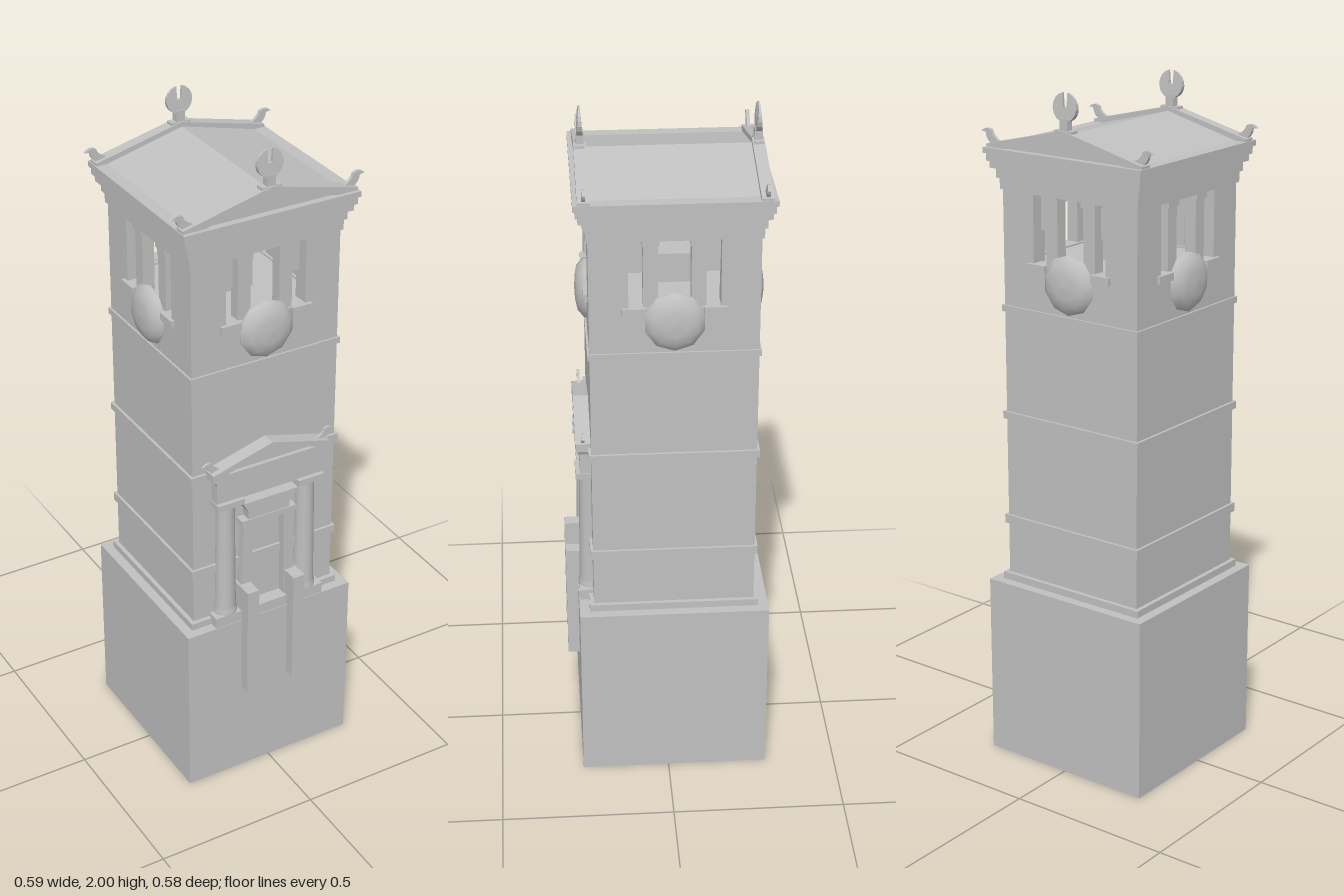
import * as THREE from 'three';

const CZ = -0.018; // the shaft stands slightly behind the centre
const stone = new THREE.MeshStandardMaterial({ color: 0xc0c0c0 });
stone.name = 'grey stone';

function add(parent, name, geo, x = 0, y = 0, z = 0) {
  const m = new THREE.Mesh(geo, stone);
  m.name = name;
  m.position.set(x, y, z);
  parent.add(m);
  return m;
}

// box given by its limits
function block(parent, name, x0, x1, y0, y1, z0, z1) {
  return add(parent, name, new THREE.BoxGeometry(x1 - x0, y1 - y0, z1 - z0),
    (x0 + x1) / 2, (y0 + y1) / 2, (z0 + z1) / 2);
}

// square slab centred on the shaft
const slab = (parent, name, half, y0, y1) => block(parent, name, -half, half, y0, y1, -half, half);

function plate(pts, depth, curveSegments = 6) {
  const s = pts instanceof THREE.Shape ? pts : new THREE.Shape(pts.map(p => new THREE.Vector2(...p)));
  return new THREE.ExtrudeGeometry(s, { depth, bevelEnabled: false, curveSegments });
}

// slab whose sides flare from a lower to an upper half width and depth
function flare(parent, name, x0, x1, y0, y1, z0, z1) {
  const m = add(parent, name, plate([[-x0, y0], [x0, y0], [x1, y1], [-x1, y1]], z1 - z0), 0, 0, z0);
  return m;
}

// low gable with tympanum and raised raking cornice
function pediment(parent, half, y, rise, rim, z0, z1) {
  const g = new THREE.Group();
  g.name = 'pediment';
  parent.add(g);
  const inset = (z1 - z0) * 0.25;
  add(g, 'tympanum', plate([[-half, y], [half, y], [0, y + rise - rim / 2]], z1 - z0 - 2 * inset), 0, 0, z0 + inset);
  add(g, 'rakingCornice', plate([[-half, y], [-half + rim * 2.5, y], [0, y + rise - rim], [half - rim * 2.5, y],
    [half, y], [half, y + rim * 0.6], [0, y + rise], [-half, y + rim * 0.6]], z1 - z0), 0, 0, z0);
  return g;
}

// curled leaf at the gable corners
function cornerLeaves(parent, x, y, z, size) {
  for (const s of [1, -1]) {
    const shape = new THREE.Shape();
    shape.moveTo(-0.45, -0.1);
    shape.quadraticCurveTo(0.1, 0.1, 0.2, 0.5);
    shape.quadraticCurveTo(0.55, 0.7, 0.9, 0.38);
    shape.quadraticCurveTo(0.5, 0.42, 0.55, 0.2);
    shape.quadraticCurveTo(0.45, -0.15, 0.15, -0.25);
    shape.closePath();
    const geo = plate(shape, 0.2, 4);
    geo.translate(0, 0, -0.1);
    const m = add(parent, 'cornerLeaf', geo, s * x, y, z);
    m.scale.setScalar(size);
    if (s < 0) m.rotation.y = Math.PI;
  }
}

// open ring on a stem at the gable peak
function peakRing(parent, y, z) {
  const s = new THREE.Shape();
  s.absarc(0, 0, 0.04, Math.PI / 2 - 0.2, -Math.PI * 1.5 + 0.2, true);
  s.lineTo(-0.007, 0.0);
  s.lineTo(0.007, 0.0);
  s.closePath();
  const geo = plate(s, 0.018, 8);
  // thin the ring towards its top
  const p = geo.attributes.position;
  for (let i = 0; i < p.count; i++) {
    const t = 1 - 0.75 * (p.getY(i) + 0.04) / 0.08;
    p.setZ(i, (p.getZ(i) - 0.009) * t);
  }
  geo.computeVertexNormals();
  add(parent, 'peakRing', geo, 0, y, z);
  block(parent, 'ringStem', -0.013, 0.013, y - 0.075, y - 0.03, z - 0.011, z + 0.011);
  block(parent, 'ringFoot', -0.03, 0.03, y - 0.078, y - 0.062, z - 0.013, z + 0.013);
}

// one side of the belfry, facing +z
function belfrySide() {
  const g = new THREE.Group();
  g.name = 'belfrySide';
  const wall = new THREE.Shape([[-0.182, 1.375], [0.182, 1.375], [0.182, 1.715], [-0.182, 1.715]].map(p => new THREE.Vector2(...p)));
  wall.holes.push(new THREE.Path([[-0.125, 1.51], [-0.125, 1.705], [0.125, 1.705], [0.125, 1.51]].map(p => new THREE.Vector2(...p))));
  add(g, 'wall', plate(wall, 0.05), 0, 0, 0.182);
  for (const s of [-1, 1]) {
    const side = (name, a, b, ...r) => block(g, name, Math.min(s * a, s * b), Math.max(s * a, s * b), ...r);
    side('windowPost', 0.045, 0.085, 1.5, 1.71, 0.19, 0.226);
    side('postCapital', 0.041, 0.089, 1.69, 1.705, 0.187, 0.232);
    side('sidePanel', 0.085, 0.126, 1.6, 1.71, 0.182, 0.198);
    side('windowSill', 0.08, 0.143, 1.49, 1.512, 0.2, 0.243);
  }
  // shallow domed dial
  const dial = new THREE.LatheGeometry([[0.085, -0.005], [0.085, 0.006], [0.064, 0.024], [0.035, 0.03], [0, 0.032]]
    .map(p => new THREE.Vector2(...p)), 10);
  dial.rotateX(Math.PI / 2);
  add(g, 'dial', dial, 0, 1.468, 0.232);
  return g;
}

export function createModel() {
  const model = new THREE.Group();
  model.name = 'tower';
  const shaft = new THREE.Group();
  shaft.name = 'shaft';
  shaft.position.z = CZ;
  model.add(shaft);

  // base, shaft and string courses
  slab(shaft, 'base', 0.274, 0, 0.545);
  slab(shaft, 'plinth', 0.245, 0.545, 0.566);
  slab(shaft, 'shaftWall', 0.232, 0.566, 1.375);
  for (const [y0, y1, h] of [[0.72, 0.746, 0.24], [1.04, 1.062, 0.24], [1.358, 1.377, 0.238]])
    slab(shaft, 'stringCourse', h, y0, y1);

  // belfry
  slab(shaft, 'belfryFloor', 0.183, 1.375, 1.505);
  slab(shaft, 'belfryCore', 0.06, 1.5, 1.59);
  for (const x of [-0.207, 0.207])
    for (const z of [-0.207, 0.207])
      block(shaft, 'cornerPier', x - 0.025, x + 0.025, 1.375, 1.715, z - 0.025, z + 0.025);
  for (let i = 0; i < 4; i++) {
    const side = belfrySide();
    side.rotation.y = i * Math.PI / 2;
    shaft.add(side);
  }

  // entablature, stepping outwards
  for (const [h, y0, y1] of [[0.238, 1.708, 1.74], [0.245, 1.74, 1.768], [0.257, 1.768, 1.788], [0.264, 1.788, 1.81], [0.27, 1.81, 1.826]])
    slab(shaft, 'entablature', h, y0, y1);

  // gabled roof
  add(shaft, 'roof', plate([[-0.257, 1.82], [0.257, 1.82], [0, 1.885]], 0.46), 0, 0, -0.23);
  for (const s of [-1, 1]) {
    const z = s * 0.241;
    pediment(shaft, 0.267, 1.822, 0.076, 0.02, z - 0.017, z + 0.017);
    cornerLeaves(shaft, 0.25, 1.846, z, 0.05);
    peakRing(shaft, 1.96, z);
  }

  // portico on the front
  const portico = new THREE.Group();
  portico.name = 'portico';
  model.add(portico);
  block(portico, 'porticoStep', -0.18, 0.18, 0.545, 0.578, 0.2, 0.254);
  const profile = [[0.036, 0.575], [0.036, 0.59], [0.032, 0.6], [0.028, 0.94], [0.036, 0.952]].map(p => new THREE.Vector2(...p));
  for (const s of [-1, 1]) {
    add(portico, 'column', new THREE.LatheGeometry(profile, 12), s * 0.132, 0, 0.22);
    block(portico, 'columnCapital', s * 0.132 - 0.043, s * 0.132 + 0.043, 0.95, 0.968, 0.2, 0.258);
    // door jamb, leaning slightly inwards
    const jamb = add(portico, 'doorJamb', plate([[0.056, 0.578], [0.092, 0.578], [0.08, 0.87], [0.05, 0.87]], 0.03), 0, 0, 0.21);
    if (s < 0) {
      jamb.rotation.y = Math.PI;
      jamb.position.z = 0.24;
    }
    block(portico, 'frontPost', s * 0.077 - 0.019, s * 0.077 + 0.019, 0.3, 0.66, 0.21, 0.29);
  }
  flare(portico, 'doorLintel', 0.066, 0.07, 0.87, 0.912, 0.2, 0.243);
  block(portico, 'doorArchitrave', -0.09, 0.09, 0.864, 0.882, 0.2, 0.246);
  flare(portico, 'doorCornice', 0.07, 0.09, 0.91, 0.945, 0.2, 0.252);
  block(portico, 'porticoBeam', -0.172, 0.172, 0.966, 1.035, 0.2, 0.245);
  flare(portico, 'porticoFrieze', 0.172, 0.182, 1.03, 1.05, 0.2, 0.251);
  block(portico, 'porticoCornice', -0.19, 0.19, 1.048, 1.066, 0.2, 0.257);
  pediment(portico, 0.19, 1.064, 0.062, 0.015, 0.21, 0.257);
  cornerLeaves(portico, 0.175, 1.083, 0.236, 0.042);
  return model;
}
